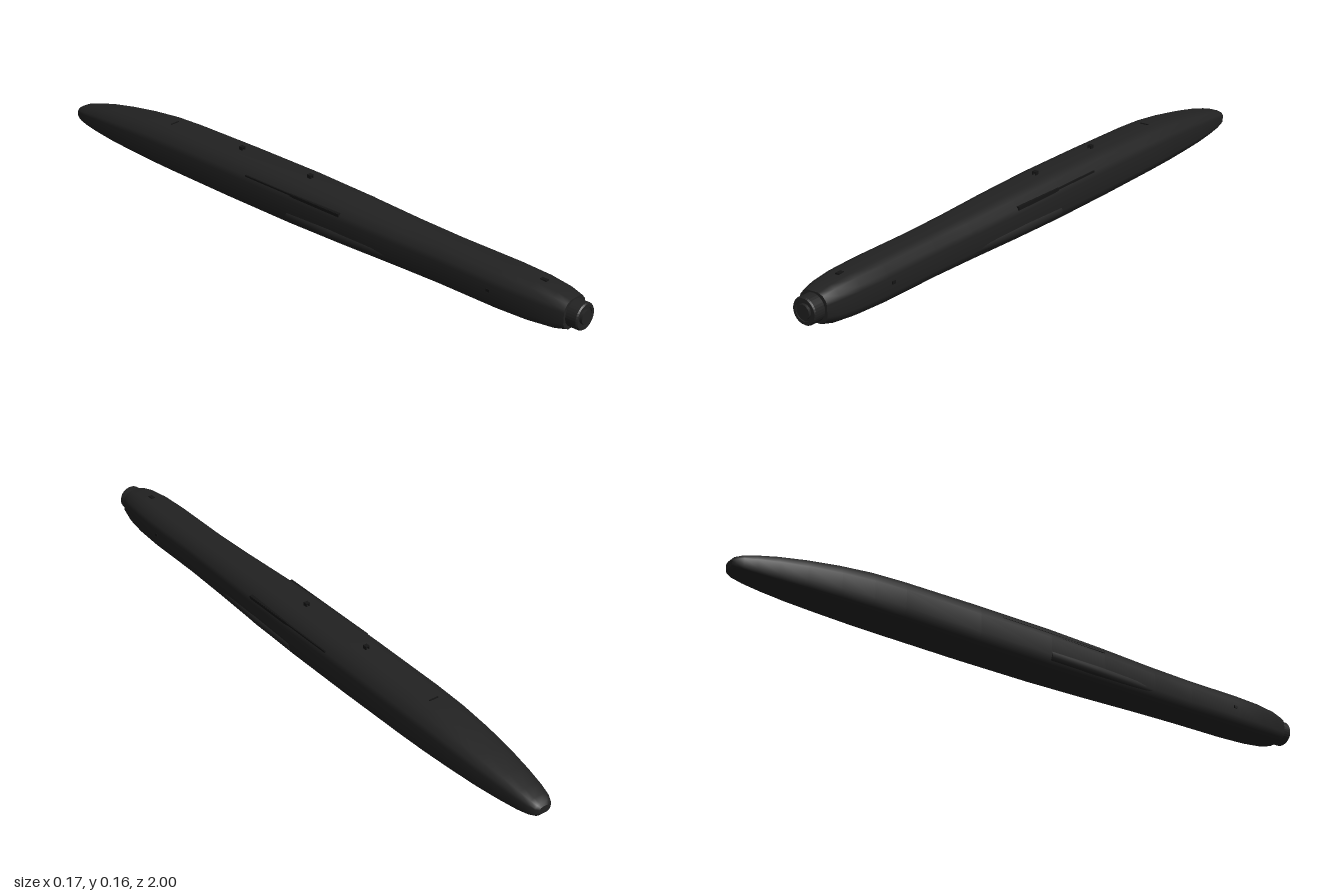
import * as THREE from 'three';

const shell = new THREE.MeshStandardMaterial({ color: 0x222222 });
shell.name = 'charcoal shell';
const trim = new THREE.MeshStandardMaterial({ color: 0x141414 });
trim.name = 'black trim';

// Right half of the pod cross-section, from the flat belly to the flat top
const half = [[0.48, -1], [0.85, -0.76], [1, -0.42], [1, 0.34], [0.94, 0.57], [0.72, 0.86], [0.4, 1]];
const podRing = [...half, ...half.map(([x, y]) => [-x, y]).reverse()];
const roundRing = Array.from({ length: 12 }, (_, i) => {
  const a = (i / 12) * Math.PI * 2;
  return [Math.cos(a), Math.sin(a)];
});

// Skin a ring through stations [z, centreX, halfWidth, bottom, top], back to front
function loft(ring, stations) {
  const n = ring.length, pos = [], index = [];
  for (const [z, cx, w, b, t] of stations) {
    for (const [x, y] of ring) pos.push(cx + x * w, (b + t) / 2 + (y * (t - b)) / 2, z);
  }
  for (let i = 0; i < stations.length - 1; i++) {
    for (let j = 0; j < n; j++) {
      const k = (j + 1) % n, a = i * n, c = a + n;
      index.push(a + j, a + k, c + k, a + j, c + k, c + j);
    }
  }
  // End caps with their own vertices so the rims stay sharp
  for (const end of [0, stations.length - 1]) {
    const [z, cx, w, b, t] = stations[end], base = pos.length / 3;
    pos.push(cx, (b + t) / 2, z);
    for (const [x, y] of ring) pos.push(cx + x * w, (b + t) / 2 + (y * (t - b)) / 2, z);
    for (let j = 0; j < n; j++) {
      const p = base + 1 + j, q = base + 1 + ((j + 1) % n);
      if (end) index.push(base, p, q);
      else index.push(base, q, p);
    }
  }
  const g = new THREE.BufferGeometry();
  g.setAttribute('position', new THREE.Float32BufferAttribute(pos, 3));
  g.setIndex(index);
  g.computeVertexNormals();
  return g;
}

export function createModel() {
  const model = new THREE.Group();
  model.name = 'equipmentPod';
  const add = (name, geometry, material, x = 0, y = 0, z = 0) => {
    const m = new THREE.Mesh(geometry, material);
    m.name = name;
    m.position.set(x, y, z);
    model.add(m);
    return m;
  };
  const box = (name, w, h, d, x, y, z, material = trim) =>
    add(name, new THREE.BoxGeometry(w, h, d), material, x, y, z);

  // Long body with a rounded, drooping tail
  add('podBody', loft(podRing, [
    [-1, 0, 0.017, 0.038, 0.06],
    [-0.993, 0, 0.028, 0.03, 0.068],
    [-0.975, 0, 0.037, 0.025, 0.076],
    [-0.94, 0, 0.045, 0.02, 0.086],
    [-0.88, 0, 0.054, 0.015, 0.1],
    [-0.8, 0, 0.064, 0.011, 0.114],
    [-0.7, 0, 0.072, 0.008, 0.128],
    [-0.6, 0, 0.077, 0.005, 0.138],
    [-0.5, 0, 0.079, 0.003, 0.142],
    [-0.25, 0, 0.08, 0, 0.145],
    [0, 0, 0.08, 0, 0.145],
    [0.2, 0, 0.076, 0.003, 0.141],
    [0.4, 0, 0.069, 0.007, 0.135],
    [0.55, 0, 0.065, 0.009, 0.133],
    [0.75, 0, 0.067, 0.011, 0.132],
    [0.85, 0, 0.063, 0.014, 0.13],
    [0.92, 0, 0.055, 0.02, 0.124],
    [0.96, 0, 0.046, 0.03, 0.115],
  ]), shell);

  // Round nose socket with stepped rings
  const rings = [[0.039, -0.05], [0.039, 0.032], [0.036, 0.036], [0.028, 0.036], [0.028, 0.032],
    [0.021, 0.032], [0.021, 0.04], [0, 0.04]].map(([r, h]) => new THREE.Vector2(r, h));
  const nose = add('noseSocket', new THREE.LatheGeometry(rings, 32).toNonIndexed(), shell, 0, 0.072, 0.96);
  nose.geometry.computeVertexNormals();
  nose.rotation.x = Math.PI / 2;

  for (const s of [1, -1]) {
    const side = s > 0 ? 'left' : 'right';
    // Low side fairing, blunt behind and tapering forward
    add(side + 'Fairing', loft(roundRing, [
      [0, s * 0.07, 0.013, 0.027, 0.06],
      [0.17, s * 0.069, 0.013, 0.028, 0.06],
      [0.3, s * 0.063, 0.012, 0.03, 0.06],
      [0.41, s * 0.059, 0.008, 0.034, 0.058],
    ]), shell);
    // Upper side rail, deeper over its front part
    box(side + 'Rail', 0.008, 0.005, 0.37, s * 0.0735, 0.114, 0.015);
    box(side + 'RailFront', 0.01, 0.01, 0.19, s * 0.0715, 0.112, 0.105);
    // Small fastener near the nose
    box(side + 'Fastener', 0.006, 0.008, 0.012, s * 0.067, 0.075, 0.73);
  }

  // Suspension lugs: square loops on top
  for (const z of [0.02, -0.26]) {
    for (const s of [1, -1]) box('lugPost', 0.003, 0.014, 0.014, s * 0.005, 0.147, z);
    box('lugBar', 0.013, 0.003, 0.014, 0, 0.1535, z);
  }

  // Hatch edge on the rear top and a small nose tab
  box('rearHatchEdge', 0.03, 0.003, 0.004, 0, 0.1405, -0.555);
  box('noseTab', 0.012, 0.004, 0.02, 0, 0.13, 0.86);
  return model;
}
